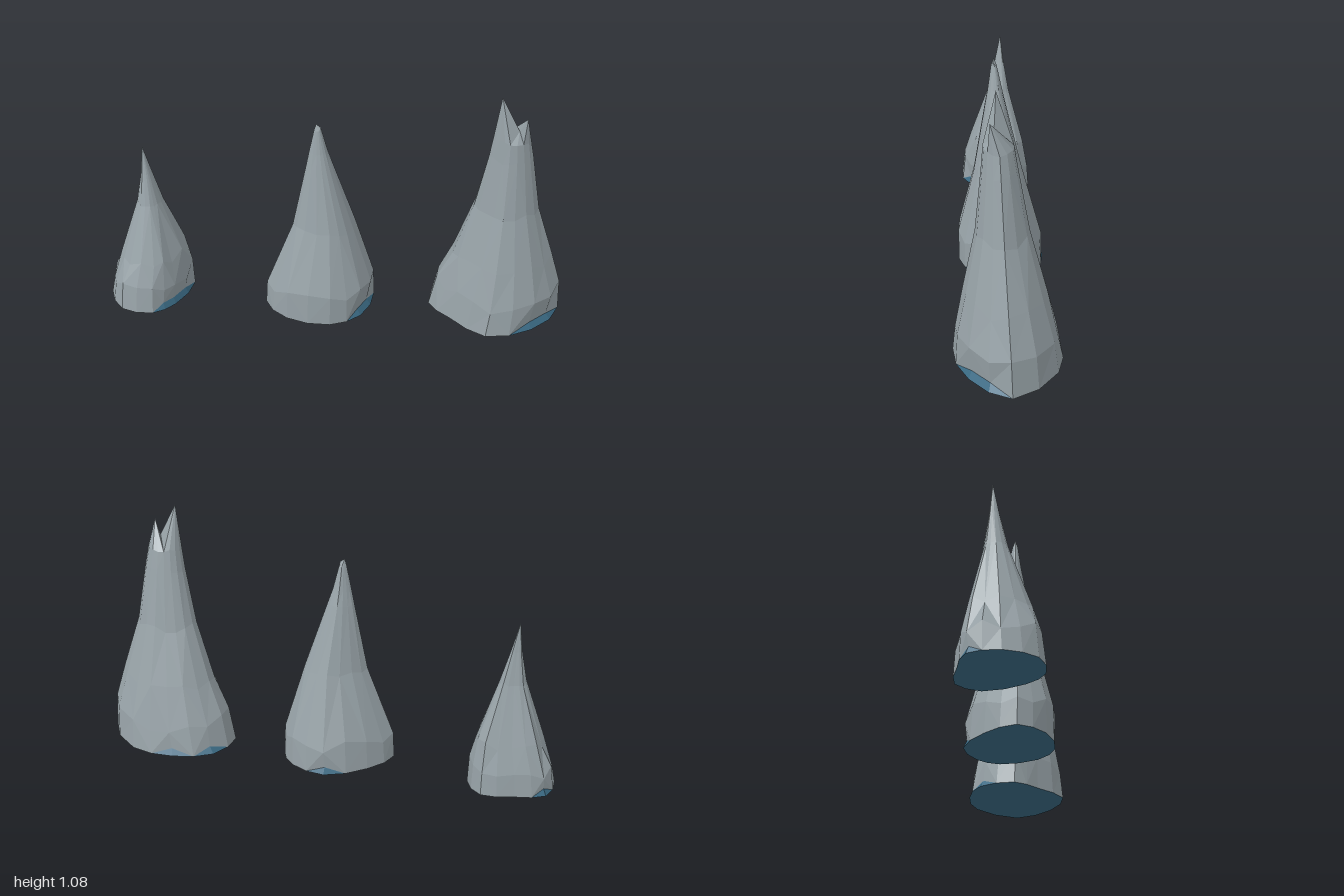
import * as THREE from 'three';

function seeded(seed) {
  let s = seed * 7919 + 1;
  return () => ((s = (s * 16807) % 2147483647) / 2147483647) - 0.5;
}

// Joins two matching rings with facets, alternating the diagonals
function bridge(out, low, up, alternate) {
  low.forEach((a, i) => {
    const j = (i + 1) % low.length;
    const b = low[j], c = up[i], d = up[j];
    if ((i + alternate) % 2) out.push(a, c, d, a, d, b);
    else out.push(a, c, b, b, c, d);
  });
}

function facetMesh(name, corners, material) {
  const points = [];
  // Drop collapsed facets where rings meet
  for (let i = 0; i < corners.length; i += 3) {
    const [a, b, c] = corners.slice(i, i + 3);
    if (b.clone().sub(a).cross(c.clone().sub(a)).length() > 1e-7) points.push(a, b, c);
  }
  const geometry = new THREE.BufferGeometry().setFromPoints(points);
  geometry.computeVertexNormals();
  const mesh = new THREE.Mesh(geometry, material);
  mesh.name = name;
  return mesh;
}

// outline: ground corners [x, z]; sides: silhouette [y, xMin, xMax]; tips: summit points;
// chips: outline steps broken away at the ground
function buildSpike({ name, seed, outline, sides, tips, valley = tips[0], chips }, stone, ground) {
  const rand = seeded(seed);

  // Ground outline with an extra rounded corner between each pair of points
  const curve = new THREE.CatmullRomCurve3(outline.map(([x, z]) => new THREE.Vector3(x, 0, z)), true);
  const foot = curve.getPoints(outline.length * 2).slice(0, -1);
  const box = new THREE.Box3().setFromPoints(foot);
  const size = box.getSize(new THREE.Vector3());
  const middle = box.getCenter(new THREE.Vector3());

  // Lower edge of the stone, raised and pulled in at the chips
  const edge = foot.map((p, i) => chips.includes(i)
    ? p.clone().lerp(middle, 0.08).setY(0.03) : p.clone());

  // Rings follow the silhouette, taper evenly in depth and lean toward the tip
  const rings = [edge];
  for (const [y, left, right] of sides) {
    const scale = (right - left) / size.x;
    const centreZ = THREE.MathUtils.lerp(middle.z, tips[0][2], y / tips[0][1]);
    const rough = 0.06 * scale;
    rings.push(foot.map((p) => {
      const k = scale * (1 - Math.abs(rand()) * rough);
      return new THREE.Vector3((left + right) / 2 + (p.x - middle.x) * k,
        y + rand() * rough, centreZ + (p.z - middle.z) * k);
    }));
  }

  // Corners run to the tip on their side; those between two tips run to the valley
  const splitX = (tips[0][0] + tips[tips.length - 1][0]) / 2;
  const last = rings[rings.length - 1];
  const nearest = last.map((p) => (p.x > splitX ? tips[tips.length - 1] : tips[0]));
  rings.push(nearest.map((tip, i) =>
    new THREE.Vector3(...(tip === nearest[(i + 1) % nearest.length] ? tip : valley))));

  const body = [];
  for (let i = 0; i + 1 < rings.length; i++) bridge(body, rings[i], rings[i + 1], i);

  // Flat underside and the sloped faces of the chips
  const base = [];
  bridge(base, foot, edge, 0);
  foot.forEach((p, i) => base.push(middle, p, foot[(i + 1) % foot.length]));

  const group = new THREE.Group();
  group.name = name;
  group.add(facetMesh('stoneBody', body, stone), facetMesh('cutBase', base, ground));
  return group;
}

export function createModel() {
  const stone = new THREE.MeshStandardMaterial({ color: 0x98a3a8, flatShading: true, side: THREE.DoubleSide });
  stone.name = 'grey stone';
  const ground = new THREE.MeshStandardMaterial({ color: 0x3b6b85, flatShading: true });
  ground.name = 'blue base';

  const model = new THREE.Group();
  model.name = 'rockSpikes';

  // Small spike with one slender tip
  model.add(buildSpike({
    name: 'smallSpike', seed: 3,
    outline: [[-0.99, 0.02], [-0.965, -0.1], [-0.84, -0.14], [-0.7, -0.16],
      [-0.63, -0.07], [-0.69, 0.09], [-0.78, 0.16], [-0.92, 0.14]],
    sides: [[0.11, -0.975, -0.63], [0.22, -0.928, -0.648], [0.48, -0.838, -0.73], [0.62, -0.812, -0.766]],
    tips: [[-0.797, 0.75, -0.025]],
    chips: [2, 9, 10, 11],
  }, stone, ground));

  // Medium spike with a narrow blunt top
  model.add(buildSpike({
    name: 'mediumSpike', seed: 11,
    outline: [[-0.292, 0.04], [-0.2, -0.09], [-0.03, -0.185], [0.12, -0.14],
      [0.182, -0.05], [0.13, 0.11], [0, 0.182], [-0.19, 0.15]],
    sides: [[0.13, -0.287, 0.183], [0.42, -0.168, 0.097], [0.72, -0.108, 0.003],
      [0.79, -0.093, -0.018], [0.89, -0.073, -0.043]],
    tips: [[-0.065, 0.92, 0.027], [-0.045, 0.905, 0.03]],
    chips: [4, 9, 10],
  }, stone, ground));

  // Large spike with a forked top
  model.add(buildSpike({
    name: 'forkedSpike', seed: 29,
    outline: [[0.425, 0], [0.48, -0.15], [0.65, -0.212], [0.84, -0.19],
      [0.995, -0.01], [0.87, 0.15], [0.67, 0.21], [0.52, 0.1]],
    sides: [[0.13, 0.45, 0.99], [0.3, 0.512, 0.938], [0.55, 0.59, 0.86], [0.8, 0.632, 0.812], [0.89, 0.643, 0.795]],
    tips: [[0.665, 1.08, 0.04], [0.77, 1, 0.065]],
    valley: [0.743, 0.935, 0.05],
    chips: [2, 4, 9, 10],
  }, stone, ground));

  return model;
}
